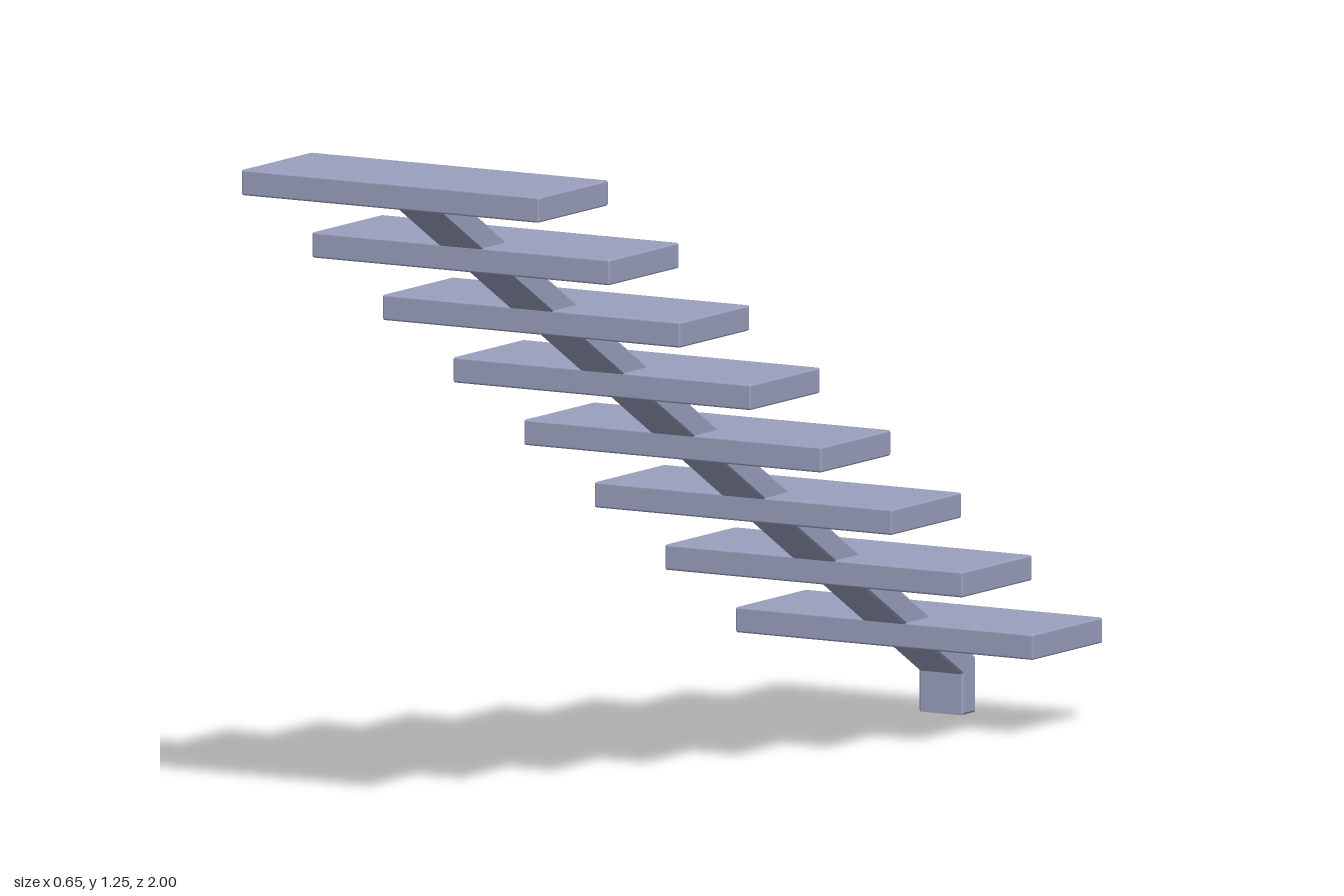
import * as THREE from 'three';
import { RoundedBoxGeometry } from 'three/addons/geometries/RoundedBoxGeometry.js';

const STEPS = 8, RUN = 0.25, RISE = 0.15;
const DEPTH = 0.248, THICK = 0.048, WIDTH = 0.646, BEAM = 0.096, BEVEL = 0.004;

export function createModel() {
  const model = new THREE.Group();
  model.name = 'floatingStaircase';
  const paint = new THREE.MeshStandardMaterial({ color: 0x9aa0be });
  paint.name = 'greyBluePaint';

  // Eight identical treads climbing towards the front
  const treads = new THREE.Group();
  treads.name = 'treads';
  const treadGeometry = new RoundedBoxGeometry(WIDTH, THICK, DEPTH, 2, BEVEL);
  for (let i = 0; i < STEPS; i++) {
    const tread = new THREE.Mesh(treadGeometry, paint);
    tread.name = `tread${i + 1}`;
    tread.position.set(0, 0.176 + i * RISE, -0.876 + i * RUN * 1.0007);
    treads.add(tread);
  }
  model.add(treads);

  // Central sloping stringer with its upright foot, drawn in (z, y)
  const side = new THREE.Shape([
    [-1, 0], [-0.952, 0], [-0.952, 0.077], [0.95, 1.218], [0.858, 1.218], [-1, 0.104],
  ].map(([z, y]) => new THREE.Vector2(z, y)));
  const beamGeometry = new THREE.ExtrudeGeometry(side, {
    depth: BEAM - 2 * BEVEL,
    bevelEnabled: true, bevelSize: BEVEL, bevelThickness: BEVEL, bevelOffset: -BEVEL, bevelSegments: 1,
  });
  beamGeometry.translate(0, 0, -(BEAM / 2 - BEVEL)).rotateY(-Math.PI / 2);
  const stringer = new THREE.Mesh(beamGeometry, paint);
  stringer.name = 'centralStringer';
  model.add(stringer);

  return model;
}
